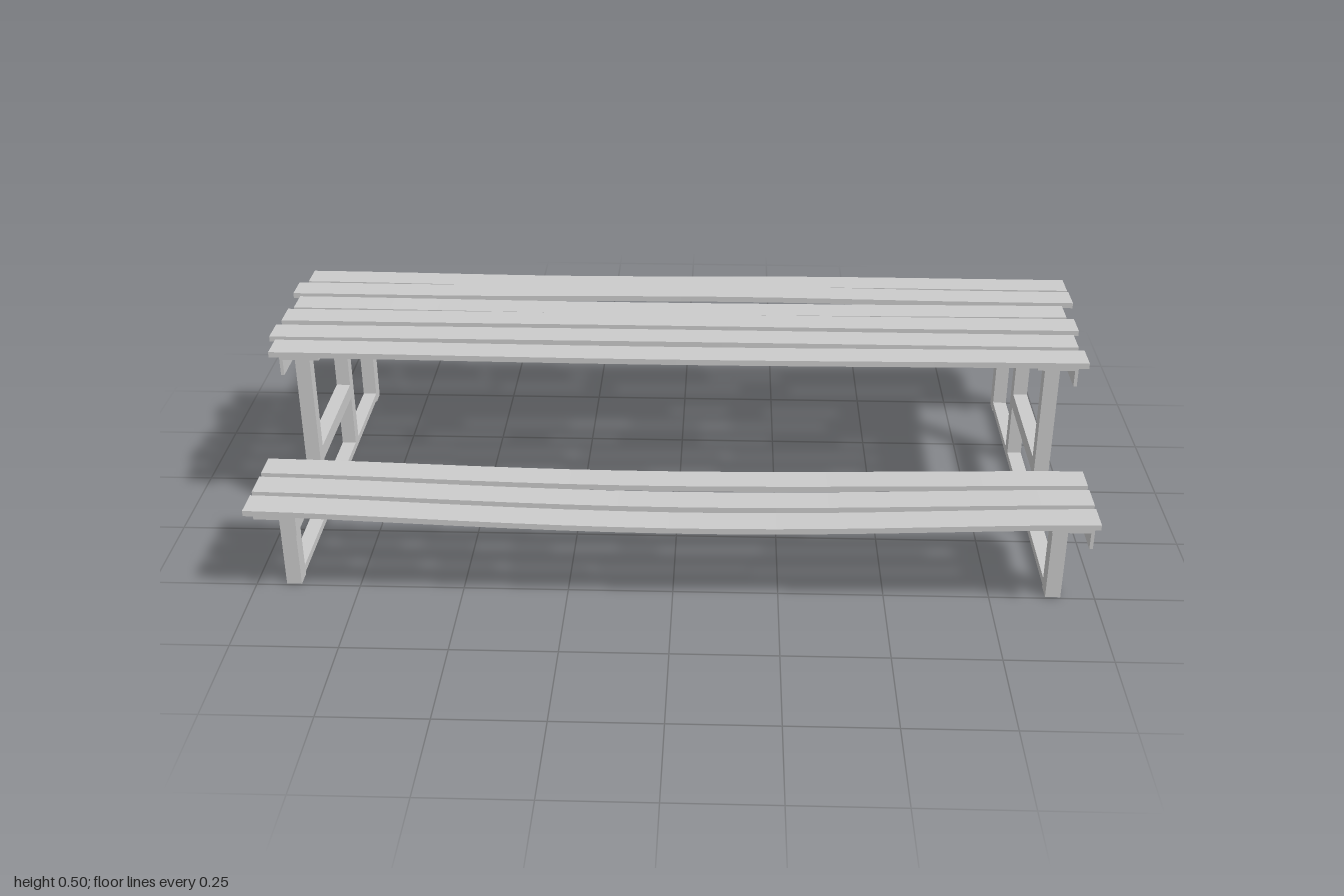
import * as THREE from 'three';

const material = new THREE.MeshStandardMaterial({ color: 0xcccccc, flatShading: true });

// Box given by its min/max extents
function bar(parent, name, [x0, x1], [y0, y1], [z0, z1]) {
  const mesh = new THREE.Mesh(new THREE.BoxGeometry(x1 - x0, y1 - y0, z1 - z0), material);
  mesh.position.set((x0 + x1) / 2, (y0 + y1) / 2, (z0 + z1) / 2);
  mesh.name = name;
  parent.add(mesh);
}

// Weathered board: bends by `sag` in y and `sway` in z along its length
function plank(parent, name, { x0, x1, z, top, width = 0.07, thick = 0.014, sag = 0, sway = 0, phase = 0 }) {
  const geo = new THREE.BoxGeometry(x1 - x0, thick, width, 16, 1, 1);
  geo.translate((x0 + x1) / 2, top - thick / 2, z);
  const p = geo.attributes.position;
  for (let i = 0; i < p.count; i++) {
    const x = p.getX(i);
    const bend = Math.cos(Math.min(1, Math.abs(x)) * Math.PI / 2) ** 1.5;
    p.setY(i, p.getY(i) - sag * bend + 0.002 * Math.sin(3 * x + phase) * bend);
    p.setZ(i, p.getZ(i) + sway * Math.sin(2.6 * x + phase) * bend);
  }
  geo.computeVertexNormals();
  const mesh = new THREE.Mesh(geo, material);
  mesh.name = name;
  parent.add(mesh);
}

// Angle iron: flat flange under the boards, thin web hanging at one edge
function angleIron(parent, name, xMid, webSide, top, z) {
  const half = 0.048, t = 0.008, drop = 0.049;
  bar(parent, name + 'Flange', [xMid - half, xMid + half], [top - t, top], z);
  const edge = xMid + webSide * half;
  const web = webSide > 0 ? [edge - t, edge] : [edge, edge + t];
  bar(parent, name + 'Web', web, [top - drop, top - t], z);
}

export function createModel() {
  const model = new THREE.Group();
  model.name = 'picnicTable';

  // Table top boards: x start, x end, z centre, top height, sag, sway, phase
  const tableTop = new THREE.Group();
  tableTop.name = 'tableTop';
  [
    [-0.98, 1.0, -0.221, 0.494, 0.003, -0.006, 0],
    [-1.0, 1.0, -0.134, 0.498, -0.001, -0.006, 1],
    [-0.98, 0.97, -0.052, 0.495, 0.005, 0.004, 0.5],
    [-0.99, 0.985, 0.035, 0.499, 0.001, 0.003, 2],
    [-1.0, 0.97, 0.121, 0.495, -0.001, 0.005, 1.5],
    [-0.98, 0.98, 0.212, 0.497, 0.004, 0.006, 1.8],
  ].forEach(([x0, x1, z, top, sag, sway, phase]) =>
    plank(tableTop, 'tablePlank', { x0, x1, z, top, sag, sway, phase }));
  model.add(tableTop);

  // Bench seats: three sagging boards each
  for (const [name, rows] of [['frontSeat', [0.386, 0.473, 0.559]], ['backSeat', [-0.398, -0.489, -0.569]]]) {
    const seat = new THREE.Group();
    seat.name = name;
    rows.forEach((z, i) => plank(seat, 'seatPlank', {
      x0: -0.98, x1: 0.97, z, top: 0.263, sag: 0.018 + 0.005 * i,
      sway: [0.001, 0.004, 0.002][i], phase: i * 1.3,
    }));
    model.add(seat);
  }

  // End frames
  for (const side of [-1, 1]) {
    const frame = new THREE.Group();
    frame.name = side < 0 ? 'rightFrame' : 'leftFrame';
    const c = side < 0 ? -0.91 : 0.902;
    const post = [c - 0.018, c + 0.018];
    bar(frame, 'bottomRail', post, [0.007, 0.026], [-0.453, 0.453]);
    bar(frame, 'crossRail', post, [0.165, 0.203], [-0.162, 0.178]);
    bar(frame, 'tableLeg', post, [0.007, 0.473], [0.176, 0.21]);
    bar(frame, 'tableLeg', post, [0.007, 0.473], [-0.195, -0.16]);
    bar(frame, 'seatLeg', post, [0, 0.238], [0.452, 0.495]);
    bar(frame, 'seatLeg', post, [0, 0.238], [-0.495, -0.452]);
    angleIron(frame, 'tableBracket', side * 0.909, side, 0.481, [-0.224, 0.24]);
    angleIron(frame, 'seatBracket', side * 0.909, 1, 0.247, [0.357, 0.592]);
    angleIron(frame, 'seatBracket', side * 0.909, 1, 0.247, [-0.592, -0.357]);
    model.add(frame);
  }
  return model;
}
